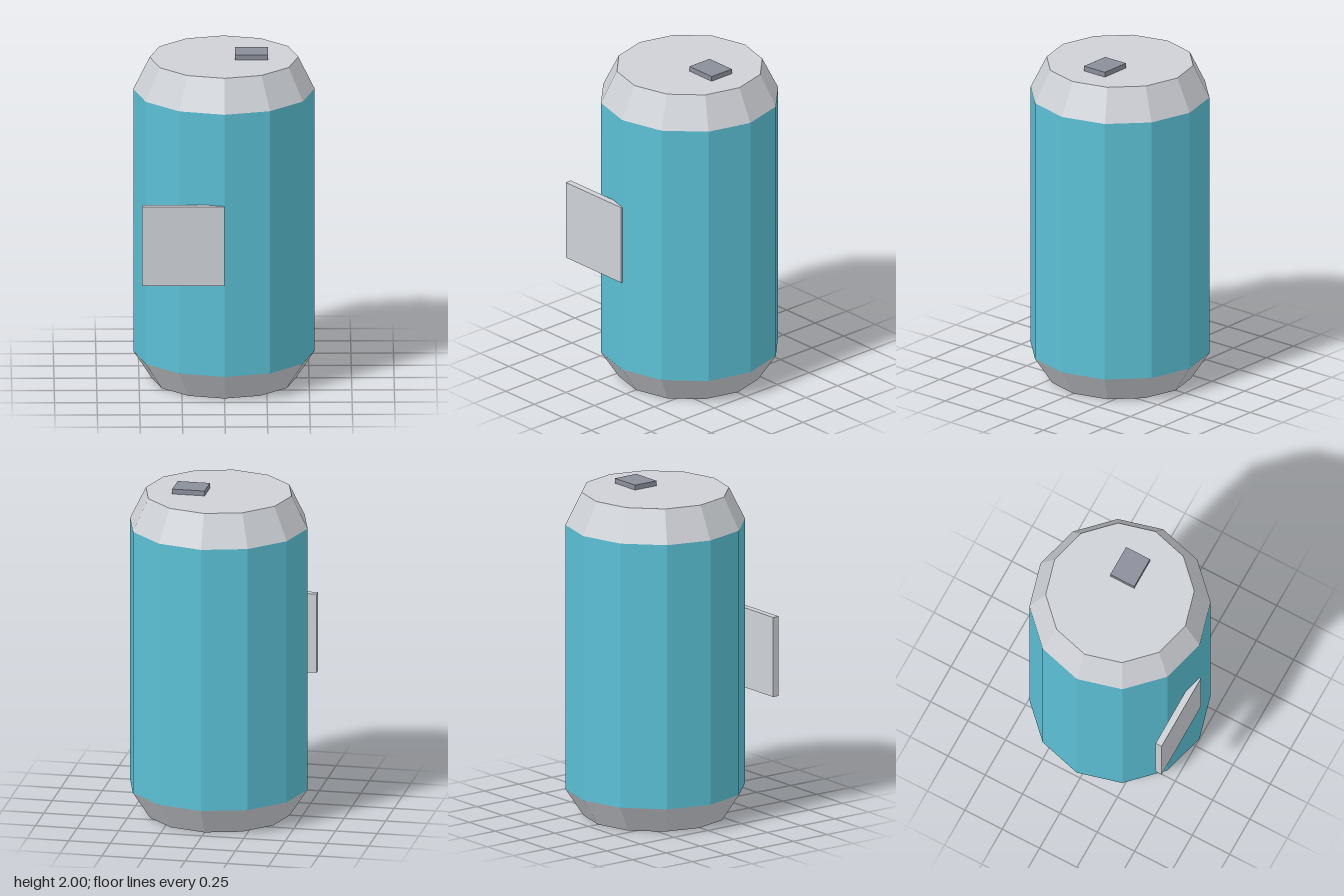
import * as THREE from 'three';

export function createModel() {
  const model = new THREE.Group();
  const material = (name, color) => {
    const m = new THREE.MeshStandardMaterial({ color, flatShading: true });
    m.name = name;
    return m;
  };
  const teal = material('teal', 0x5bc0d5);
  const silver = material('silver', 0xced1d6);
  const darkGrey = material('dark grey', 0x8b8f9b);

  const add = (name, geometry, mat, x, y, z) => {
    const mesh = new THREE.Mesh(geometry, mat);
    mesh.name = name;
    mesh.position.set(x, y, z);
    model.add(mesh);
  };

  // Stacked twelve-sided sections: [name, bottom y, top y, bottom radius, top radius, material, open]
  const sections = [
    ['base', 0, 0.165, 0.425, 0.533, silver],
    ['body', 0.165, 1.775, 0.533, 0.533, teal],
    ['lid', 1.775, 1.97, 0.533, 0.437, silver],
  ];
  for (const [name, y0, y1, r0, r1, mat] of sections) {
    const geometry = new THREE.CylinderGeometry(r1, r0, y1 - y0, 12, 1, name === 'body');
    add(name, geometry, mat, 0, (y0 + y1) / 2, -0.005);
  }

  // Pull tab on the lid
  add('pullTab', new THREE.BoxGeometry(0.195, 0.032, 0.16), darkGrey, 0.162, 1.984, -0.025);

  // Square label plate, offset to the right of the front
  add('labelPlate', new THREE.BoxGeometry(0.485, 0.485, 0.04), silver, -0.243, 0.97, 0.517);

  return model;
}
